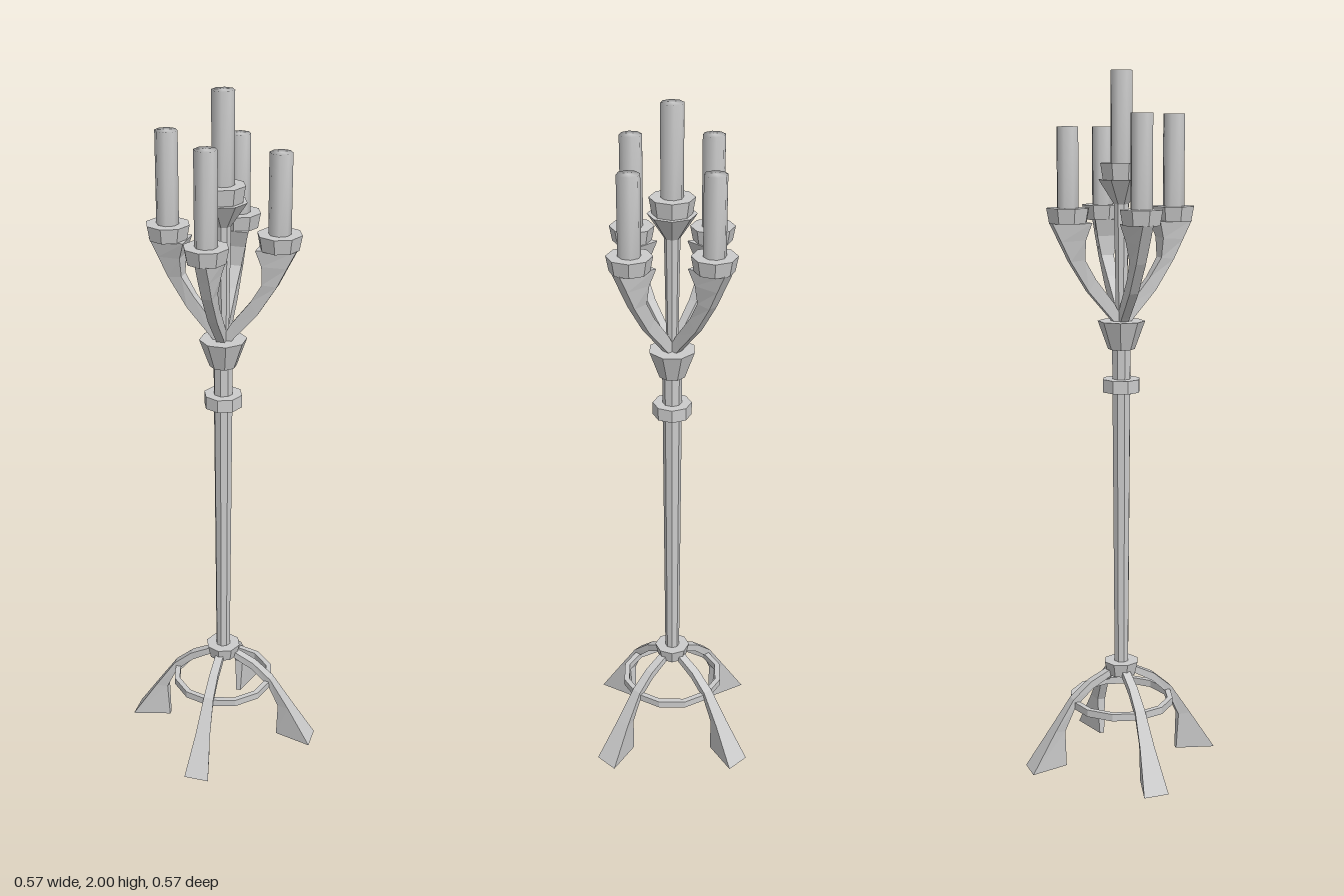
import * as THREE from 'three';
import { mergeVertices } from 'three/addons/utils/BufferGeometryUtils.js';

const flat = new THREE.MeshStandardMaterial({ color: 0xcccccc, flatShading: true });
const smooth = new THREE.MeshStandardMaterial({ color: 0xcccccc });

function add(parent, name, geometry, material = flat) {
  const mesh = new THREE.Mesh(geometry, material);
  mesh.name = name;
  parent.add(mesh);
  return mesh;
}

// Tapered prism between two heights
function prism(rBottom, rTop, y0, y1, sides = 8, turn = 0) {
  const g = new THREE.CylinderGeometry(rTop, rBottom, y1 - y0, sides);
  return g.rotateY(turn).translate(0, (y0 + y1) / 2, 0);
}

// Candle with normals blended over its edges
function candleGeometry(y0, y1) {
  const g = prism(0.031, 0.031, y0, y1, 8, 0.15);
  g.deleteAttribute('normal');
  g.deleteAttribute('uv');
  const merged = mergeVertices(g);
  merged.computeVertexNormals();
  return merged;
}

// Curved bar from sections: [outer x, outer y, outer half width, inner x, inner y, inner half width]
function bar(sections) {
  const points = [];
  const index = [];
  sections.forEach(([ox, oy, ow, ix, iy, iw], s) => {
    points.push(ox, oy, ow, ox, oy, -ow, ix, iy, -iw, ix, iy, iw);
    if (s === 0) return;
    const a = (s - 1) * 4, b = s * 4;
    for (let j = 0; j < 4; j++) {
      const k = (j + 1) % 4;
      index.push(a + j, a + k, b + k, a + j, b + k, b + j);
    }
  });
  const e = (sections.length - 1) * 4;
  index.push(0, 2, 1, 0, 3, 2, e, e + 1, e + 2, e, e + 2, e + 3);
  const g = new THREE.BufferGeometry();
  g.setAttribute('position', new THREE.Float32BufferAttribute(points, 3));
  g.setIndex(index);
  const out = g.toNonIndexed();
  out.computeVertexNormals();
  return out;
}

const legSections = [
  [0.287, 0, 0.037, 0.175, 0, 0.007],
  [0.214, 0.115, 0.022, 0.18, 0.11, 0.012],
  [0.155, 0.205, 0.015, 0.148, 0.18, 0.012],
  [0.1, 0.253, 0.013, 0.095, 0.23, 0.012],
  [0.03, 0.288, 0.012, 0.025, 0.27, 0.012],
];

const armSections = [
  [0.015, 1.3, 0.012, 0.005, 1.33, 0.012],
  [0.035, 1.325, 0.012, 0.025, 1.365, 0.012],
  [0.1, 1.4, 0.013, 0.08, 1.435, 0.014],
  [0.153, 1.485, 0.014, 0.113, 1.49, 0.019],
  [0.18, 1.54, 0.015, 0.114, 1.545, 0.03],
  [0.206, 1.592, 0.015, 0.1, 1.592, 0.042],
];

export function createModel() {
  const model = new THREE.Group();
  model.name = 'candelabrum';
  const half = Math.PI / 8;

  // Post with its collars
  add(model, 'post', prism(0.021, 0.028, 0.27, 1.25));
  add(model, 'baseCollar', prism(0.043, 0.052, 0.265, 0.305));
  add(model, 'upperCollar', prism(0.055, 0.055, 1.113, 1.15));
  add(model, 'armSocket', prism(0.038, 0.067, 1.235, 1.315, 8, half));

  // Ring tying the legs together
  const ringProfile = [[0.138, 0.175], [0.154, 0.175], [0.154, 0.196], [0.138, 0.196], [0.138, 0.175]];
  add(model, 'legRing', new THREE.LatheGeometry(ringProfile.map(([x, y]) => new THREE.Vector2(x, y)), 12));

  // Central candle on its flared stem
  add(model, 'centreStem', prism(0.016, 0.022, 1.3, 1.645));
  add(model, 'centreFlare', prism(0.022, 0.067, 1.64, 1.707));
  add(model, 'centreCup', prism(0.054, 0.062, 1.705, 1.752));
  add(model, 'centreCandle', candleGeometry(1.75, 2), smooth);

  // Four legs, and four arms each with a cup and candle
  [1.85, 1.85, 1.885, 1.885].forEach((top, i) => {
    const quarter = new THREE.Group();
    quarter.name = 'quarter' + (i + 1);
    quarter.rotation.y = (i * Math.PI) / 2;
    add(quarter, 'leg', bar(legSections));
    add(quarter, 'arm', bar(armSections));
    add(quarter, 'cup', prism(0.054, 0.062, 1.59, 1.632)).position.x = 0.156;
    add(quarter, 'candle', candleGeometry(1.63, top), smooth).position.x = 0.156;
    model.add(quarter);
  });

  return model;
}
